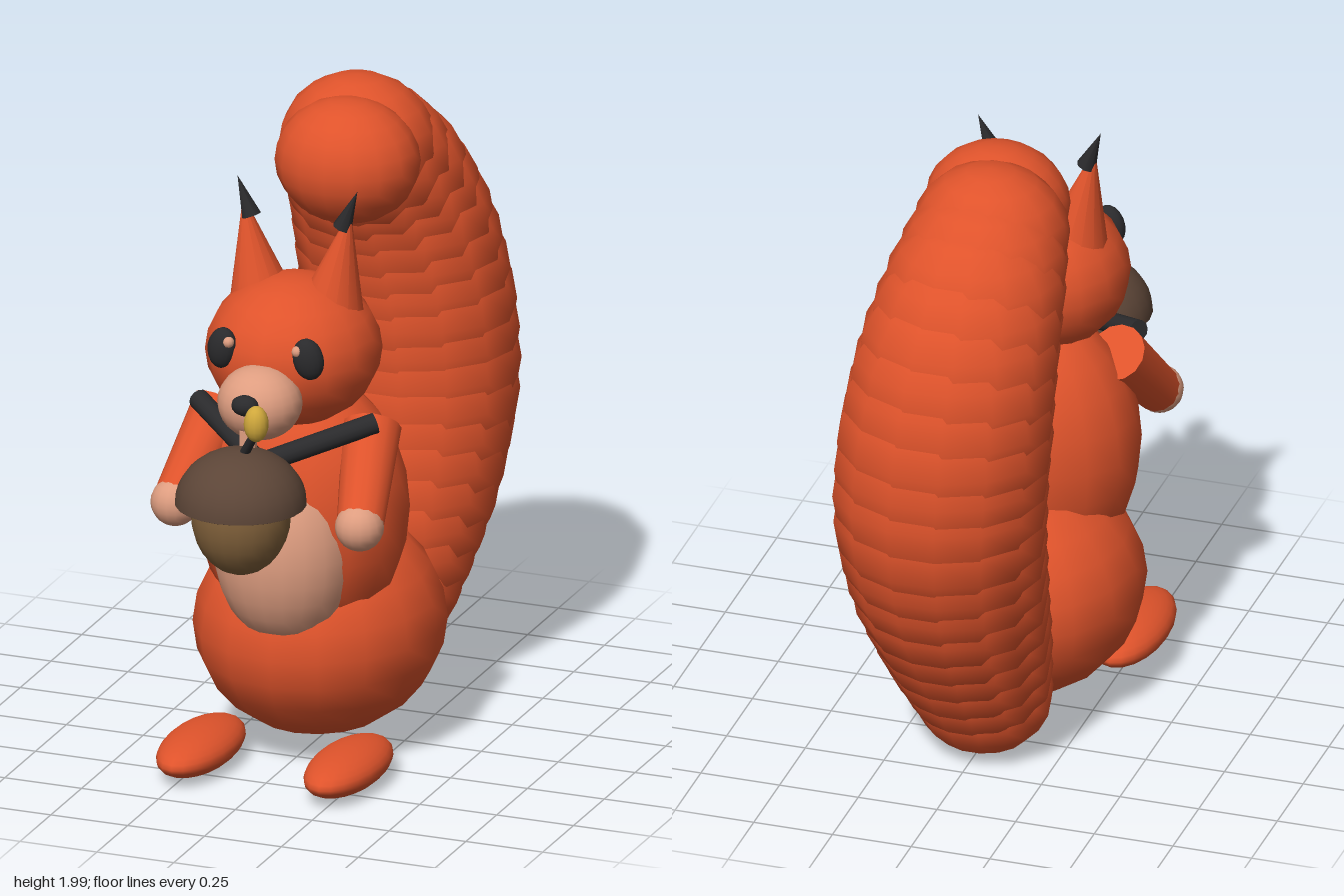
import * as THREE from 'three';

const mat = (name, color) => {
  const m = new THREE.MeshStandardMaterial({ color });
  m.name = name;
  return m;
};

export function createModel() {
  const root = new THREE.Group();
  root.name = 'squirrel';
  const fur = mat('orange fur', 0xdf532b);
  const skin = mat('pale skin', 0xde9d80);
  const black = mat('black', 0x2a2a2c);
  const capBrown = mat('acorn cap brown', 0x5c4537);
  const nutBrown = mat('acorn nut brown', 0x80603a);
  const gold = mat('gold', 0xd0a83c);

  const add = (name, geometry, material, pos) => {
    const mesh = new THREE.Mesh(geometry, material);
    mesh.name = name;
    mesh.position.set(...pos);
    root.add(mesh);
    return mesh;
  };
  // Ellipsoid with its radii baked in, so meshes can be turned freely
  const ball = (name, material, pos, rx, ry, rz, w = 20, h = 14) =>
    add(name, new THREE.SphereGeometry(1, w, h).scale(rx, ry, rz), material, pos);
  // Tapered rod from a to b
  const rod = (name, material, a, b, ra, rb, sides = 14) => {
    const p = new THREE.Vector3(...a), q = new THREE.Vector3(...b);
    const d = q.clone().sub(p);
    const mesh = add(name, new THREE.CylinderGeometry(rb, ra, d.length(), sides), material,
      p.clone().add(q).multiplyScalar(0.5).toArray());
    mesh.quaternion.setFromUnitVectors(new THREE.Vector3(0, 1, 0), d.normalize());
    return mesh;
  };

  // Body
  ball('hips', fur, [0, 0.39, 0.06], 0.38, 0.345, 0.42, 16, 12);
  ball('torso', fur, [0, 0.805, 0.2], 0.33, 0.43, 0.282, 16, 12);
  ball('belly', skin, [0, 0.715, 0.345], 0.22, 0.3, 0.202);

  // Head and face
  ball('head', fur, [0, 1.335, 0.275], 0.267, 0.232, 0.277, 16, 12);
  ball('muzzle', skin, [0, 1.252, 0.55], 0.13, 0.115, 0.125);
  ball('nose', black, [0, 1.28, 0.67], 0.044, 0.032, 0.034, 12, 8);
  add('teeth', new THREE.BoxGeometry(0.05, 0.1, 0.02), skin, [0, 1.14, 0.645]);

  // Paired parts, s = 1 is the model's left
  for (const s of [1, -1]) {
    const side = s > 0 ? 'left' : 'right';
    const eye = ball(side + 'Eye', black, [s * 0.14, 1.393, 0.507], 0.048, 0.066, 0.034, 16, 10);
    eye.rotation.set(0, s * 0.2, s * 0.2);
    ball(side + 'EyeGlint', skin, [s * 0.112, 1.42, 0.526], 0.018, 0.018, 0.018, 10, 8);

    rod(side + 'Ear', fur, [s * 0.108, 1.44, 0.25], [s * 0.175, 1.79, 0.25], 0.11, 0);
    rod(side + 'EarTuft', black, [s * 0.148, 1.73, 0.25], [s * 0.195, 1.85, 0.245], 0.031, 0, 8);

    rod(side + 'Arm', fur, [s * 0.245, 1.105, 0.25], [s * 0.3, 0.87, 0.485], 0.09, 0.072);
    ball(side + 'Hand', skin, [s * 0.3, 0.87, 0.49], 0.075, 0.075, 0.073, 16, 12);
    rod(side + 'Bar', black, [s * 0.288, 1.148, 0.33], [s * 0.02, 1.06, 0.535], 0.032, 0.032, 12);

    ball(side + 'Foot', fur, [s * 0.24, 0.073, 0.43], 0.11, 0.065, 0.243);
  }

  // Acorn
  ball('acornNut', nutBrown, [0, 0.945, 0.705], 0.152, 0.19, 0.152);
  const cap = [new THREE.Vector2(0, 0.98), new THREE.Vector2(0.199, 0.979)];
  for (let i = 0; i <= 10; i++) {
    const a = (i / 10) * Math.PI / 2;
    cap.push(new THREE.Vector2(Math.max(0.2 * Math.cos(a), 0), 0.98 + 0.17 * Math.sin(a)));
  }
  add('acornCap', new THREE.LatheGeometry(cap, 24), capBrown, [0, 0, 0.705]);
  rod('acornStem', black, [0, 1.12, 0.7], [0.065, 1.23, 0.745], 0.016, 0.013, 8);
  ball('stemBud', gold, [0.07, 1.26, 0.755], 0.038, 0.057, 0.038, 14, 10);

  // Tail: overlapping balls along a curve, [x, y, z, radius]
  const keys = [
    [-0.01, 0.215, -0.335, 0.2], [0.015, 0.42, -0.415, 0.245], [0.038, 0.68, -0.515, 0.285],
    [0.042, 0.95, -0.585, 0.307], [0.025, 1.2, -0.59, 0.307], [0.0, 1.44, -0.55, 0.29],
    [-0.025, 1.64, -0.46, 0.26], [-0.035, 1.775, -0.335, 0.225],
  ];
  const path = new THREE.CatmullRomCurve3(keys.map(([x, y, z]) => new THREE.Vector3(x, y, z)));
  const count = 19;
  for (let i = 0; i < count; i++) {
    // Evenly spaced by length, radius blended between the keys
    const t = path.getUtoTmapping(i / (count - 1));
    const f = t * (keys.length - 1);
    const k = Math.min(Math.floor(f), keys.length - 2);
    const r = THREE.MathUtils.lerp(keys[k][3], keys[k + 1][3], f - k);
    ball('tailPuff' + (i + 1), fur, path.getPoint(t).toArray(), r * 1.09, r, r, 14, 10);
  }
  ball('tailTip', fur, [0, 1.788, -0.163], 0.225, 0.194, 0.198, 16, 12);

  return root;
}
